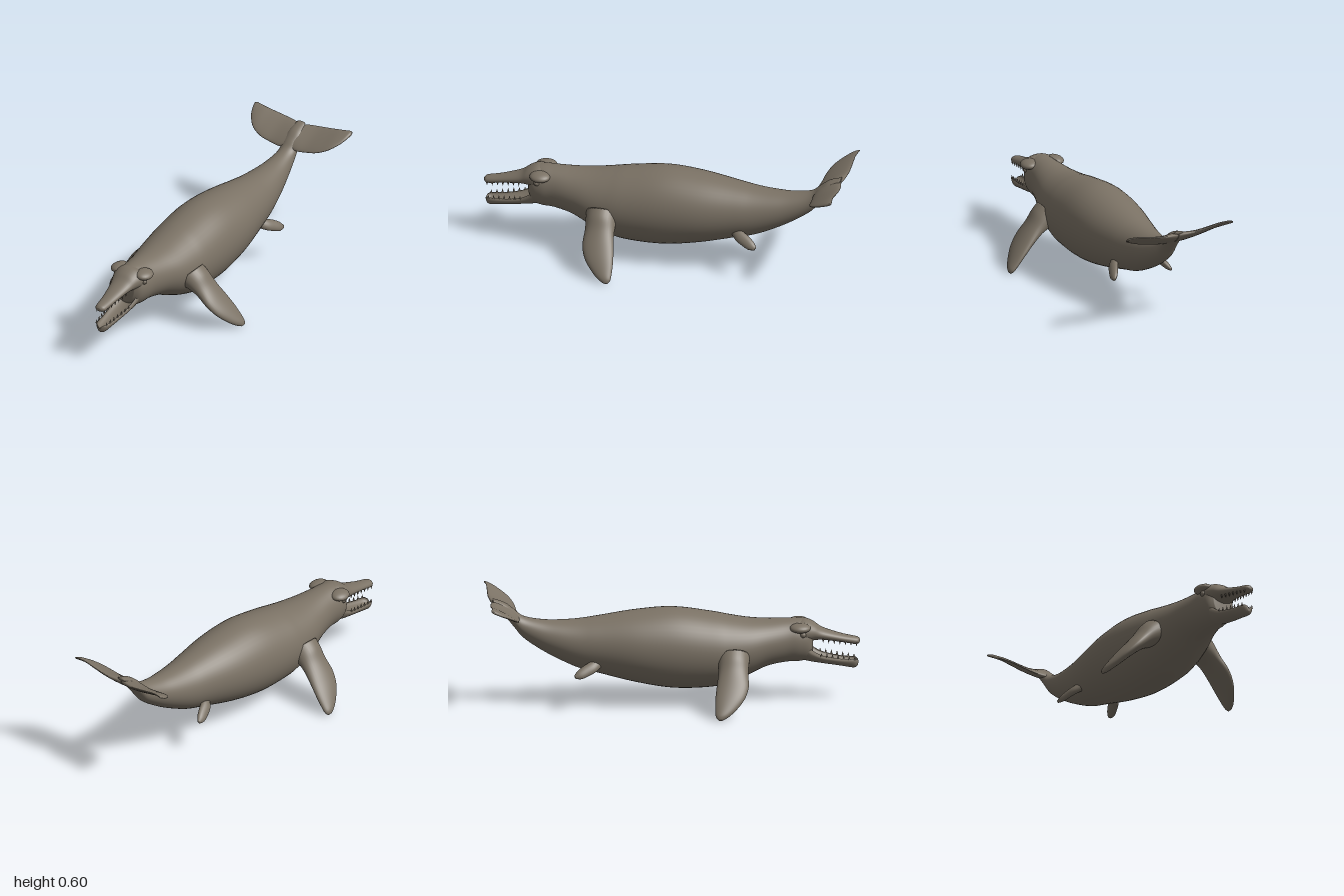
import * as THREE from 'three';

const skin = new THREE.MeshStandardMaterial({ color: 0x7b7265 });
skin.name = 'greyBrownSkin';

// Smoothly interpolate a short table of section rows
function refine(rows, steps) {
  const out = [];
  for (let i = 0; i < rows.length - 1; i++) {
    const a = rows[Math.max(i - 1, 0)], b = rows[i], c = rows[i + 1], d = rows[Math.min(i + 2, rows.length - 1)];
    for (let k = 0; k < steps; k++) {
      const t = k / steps;
      out.push(b.map((_, n) => 0.5 * (2 * b[n] + (c[n] - a[n]) * t
        + (2 * a[n] - 5 * b[n] + 4 * c[n] - d[n]) * t * t
        + (3 * b[n] - a[n] - 3 * c[n] + d[n]) * t * t * t)));
    }
  }
  out.push(rows[rows.length - 1]);
  return out;
}

// Closed skin through the rings given by point(row, angle); faces always end up outward
function loft(rows, point, sides = 32, steps = 5) {
  const rings = refine(rows, steps), pos = [], idx = [];
  for (const r of rings) {
    for (let j = 0; j < sides; j++) pos.push(...point(r, (j / sides) * Math.PI * 2));
  }
  for (let i = 0; i < rings.length - 1; i++) {
    for (let j = 0; j < sides; j++) {
      const a = i * sides + j, b = i * sides + (j + 1) % sides;
      idx.push(a, b, a + sides, b, b + sides, a + sides);
    }
  }
  for (const end of [0, rings.length - 1]) {
    const mid = [0, 0, 0], c = pos.length / 3;
    for (let j = 0; j < sides; j++) for (let n = 0; n < 3; n++) mid[n] += pos[(end * sides + j) * 3 + n] / sides;
    pos.push(...mid);
    for (let j = 0; j < sides; j++) {
      const a = end * sides + j, b = end * sides + (j + 1) % sides;
      if (end) idx.push(a, b, c); else idx.push(b, a, c);
    }
  }
  const v = (i) => new THREE.Vector3().fromArray(pos, i * 3);
  let volume = 0;
  for (let i = 0; i < idx.length; i += 3) volume += v(idx[i]).dot(v(idx[i + 1]).cross(v(idx[i + 2])));
  if (volume < 0) idx.reverse();
  const g = new THREE.BufferGeometry();
  g.setAttribute('position', new THREE.Float32BufferAttribute(pos, 3));
  g.setIndex(idx);
  g.computeVertexNormals();
  return g;
}

// Upright oval section; row = [z, bottom, top, half width]
const oval = ([z, lo, hi, w], t) => [w * Math.cos(t), (lo + hi) / 2 + (hi - lo) / 2 * Math.sin(t), z];

// Trough section for the lower jaw
const trough = ([z, lo, hi, w], t) => {
  const s = Math.sin(t), c = Math.cos(t);
  return s < 0 ? [w * c, hi + (hi - lo) * s, z] : [w * c * 0.85, hi - (hi - lo) * 0.55 * s, z];
};

// Flat fin section; row = [x, y, z, half chord, half thickness], with chord and thickness directions
const fin = (side, chord, thick) => ([x, y, z, c, h], t) => {
  const p = new THREE.Vector3(x, y, z).addScaledVector(chord, c * Math.cos(t)).addScaledVector(thick, h * Math.sin(t));
  return [p.x * side, p.y, p.z];
};
const dir = (x, y, z) => new THREE.Vector3(x, y, z).normalize();

export function createModel() {
  const model = new THREE.Group();
  model.name = 'ancientWhale';
  const add = (name, geometry) => {
    const m = new THREE.Mesh(geometry, skin);
    m.name = name;
    model.add(m);
    return m;
  };

  // Head, trunk and tail stock
  add('body', loft([
    [0.745, 0.27, 0.42, 0.055], [0.72, 0.235, 0.447, 0.085], [0.67, 0.222, 0.457, 0.1],
    [0.6, 0.22, 0.457, 0.108], [0.5, 0.2, 0.456, 0.133], [0.4, 0.155, 0.463, 0.163],
    [0.3, 0.115, 0.48, 0.183], [0.2, 0.092, 0.5, 0.195], [0, 0.09, 0.528, 0.201],
    [-0.2, 0.125, 0.516, 0.187], [-0.4, 0.178, 0.487, 0.148], [-0.5, 0.205, 0.474, 0.127],
    [-0.6, 0.25, 0.469, 0.105], [-0.7, 0.305, 0.473, 0.08], [-0.8, 0.375, 0.494, 0.056],
    [-0.85, 0.435, 0.532, 0.05], [-0.9, 0.498, 0.57, 0.045], [-0.965, 0.575, 0.593, 0.025],
  ], oval, 48));

  // Jaws
  add('upperJaw', loft([
    [0.64, 0.33, 0.44, 0.085], [0.7, 0.325, 0.455, 0.092], [0.75, 0.335, 0.437, 0.075],
    [0.8, 0.337, 0.402, 0.059], [0.9, 0.322, 0.368, 0.041], [0.97, 0.309, 0.352, 0.033],
    [0.99, 0.312, 0.346, 0.026], [1, 0.322, 0.336, 0.012],
  ], oval));
  add('lowerJaw', loft([
    [0.64, 0.225, 0.34, 0.085], [0.7, 0.225, 0.328, 0.08], [0.74, 0.217, 0.292, 0.07],
    [0.8, 0.207, 0.258, 0.058], [0.9, 0.19, 0.236, 0.045], [0.96, 0.179, 0.232, 0.038],
    [0.98, 0.183, 0.23, 0.028], [0.99, 0.195, 0.222, 0.012],
  ], trough));

  for (const [side, word] of [[1, 'left'], [-1, 'right']]) {
    // Brow and eye
    const brow = add(word + 'Brow', new THREE.SphereGeometry(1, 24, 16));
    brow.scale.set(0.046, 0.024, 0.056);
    brow.position.set(side * 0.078, 0.421, 0.675);
    brow.rotation.z = -side * 0.15;
    const eye = add(word + 'Eye', new THREE.SphereGeometry(0.016, 16, 12));
    eye.position.set(side * 0.088, 0.386, 0.69);

    // Small teeth along both jaws
    for (let i = 0; i < 7; i++) {
      const t = i / 6, z = 0.79 + t * 0.18;
      const lower = add(word + 'LowerTooth', new THREE.ConeGeometry(0.006, 0.022, 8));
      lower.position.set(side * (0.054 - t * 0.022), 0.266 - t * 0.029, z);
      const upper = add(word + 'UpperTooth', new THREE.ConeGeometry(0.006, 0.022, 8));
      upper.position.set(side * (0.043 - t * 0.019), 0.338 - t * 0.028, z + 0.01);
      upper.rotation.x = Math.PI;
    }

    // Front flipper
    add(word + 'Flipper', loft([
      [0.13, 0.28, 0.315, 0.09, 0.085], [0.18, 0.255, 0.312, 0.083, 0.066], [0.23, 0.215, 0.307, 0.08, 0.045],
      [0.29, 0.157, 0.3, 0.086, 0.034], [0.34, 0.103, 0.282, 0.078, 0.028], [0.38, 0.056, 0.257, 0.056, 0.022],
      [0.405, 0.026, 0.237, 0.034, 0.016], [0.416, 0.011, 0.228, 0.012, 0.007],
    ], fin(side, dir(0, 0, 1), dir(0.7, 0.68, 0))));

    // Small hind fin
    add(word + 'HindFin', loft([
      [0.09, 0.26, -0.4, 0.03, 0.022], [0.125, 0.24, -0.435, 0.032, 0.02], [0.145, 0.222, -0.475, 0.031, 0.018],
      [0.16, 0.205, -0.51, 0.025, 0.015], [0.168, 0.195, -0.535, 0.01, 0.007],
    ], fin(side, dir(0.45, -0.75, 0.45), dir(0.85, 0.5, 0.1)), 20));

    // Tail fluke
    add(word + 'Fluke', loft([
      [0, 0.535, -0.9, 0.075, 0.024], [0.05, 0.533, -0.902, 0.088, 0.02], [0.11, 0.538, -0.908, 0.089, 0.015],
      [0.18, 0.55, -0.911, 0.085, 0.012], [0.24, 0.567, -0.922, 0.071, 0.01], [0.28, 0.582, -0.945, 0.05, 0.009],
      [0.3, 0.592, -0.965, 0.031, 0.008], [0.31, 0.597, -0.98, 0.012, 0.005],
    ], fin(side, dir(0, 0.5, -0.86), dir(0, 0.86, 0.5)), 28));
  }
  return model;
}
